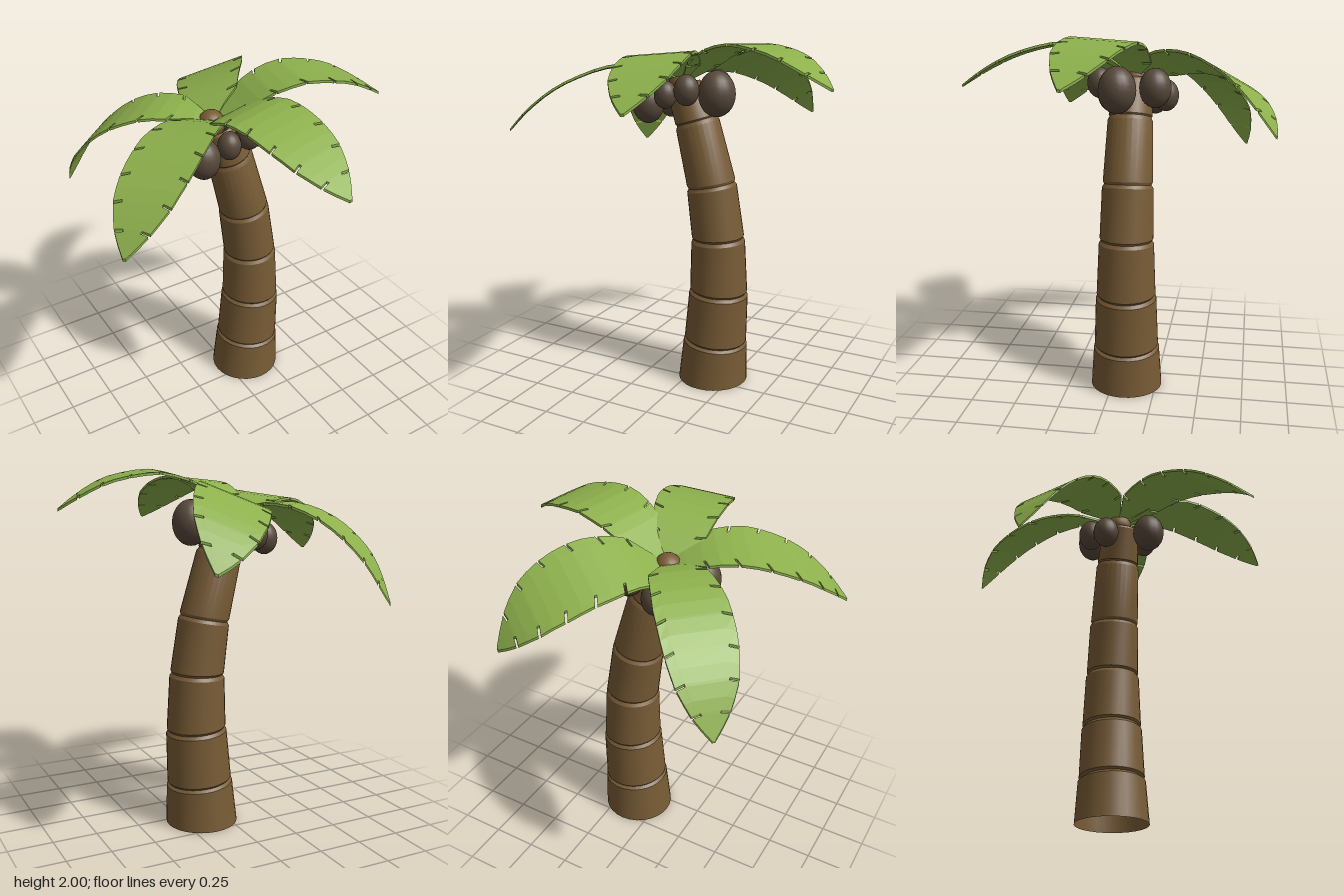
import * as THREE from 'three';
import { toCreasedNormals } from 'three/addons/utils/BufferGeometryUtils.js';

const bark = new THREE.MeshStandardMaterial({ color: 0x775b35, side: THREE.DoubleSide });
const husk = new THREE.MeshStandardMaterial({ color: 0x57483a });
const green = new THREE.MeshStandardMaterial({ color: 0x8db04c, flatShading: true });
const V = (x, y, z) => new THREE.Vector3(x, y, z);
const TRUNK_Z = -0.077;

// Trunk joints: centre x, centre y, radius, lean of the ring about z
const joints = [
  [0.135, 0, 0.205, 0],
  [0.149, 0.25, 0.184, -0.08],
  [0.167, 0.56, 0.168, -0.06],
  [0.16, 0.88, 0.151, 0.05],
  [0.115, 1.19, 0.14, 0.19],
  [0.02, 1.55, 0.123, 0.3],
  [-0.065, 1.75, 0.1, 0.3],
];

// Skin a stack of leaning rings { x, y, r, lean }, open at both ends
function ringLoft(rings, sides = 28) {
  const pos = [], index = [];
  for (const { x, y, r, lean } of rings) {
    for (let k = 0; k < sides; k++) {
      const a = (k / sides) * Math.PI * 2, c = Math.cos(a) * r;
      pos.push(x + c * Math.cos(lean), y + c * Math.sin(lean), TRUNK_Z + Math.sin(a) * r);
    }
  }
  for (let i = 0; i < rings.length - 1; i++) {
    for (let k = 0; k < sides; k++) {
      const n = (k + 1) % sides, a = i * sides + k, b = i * sides + n;
      index.push(a, a + sides, b, b, a + sides, b + sides);
    }
  }
  const g = new THREE.BufferGeometry();
  g.setAttribute('position', new THREE.Float32BufferAttribute(pos, 3));
  g.setIndex(index);
  return toCreasedNormals(g, 0.45);
}

// One trunk segment: narrow foot, full body, bevelled top edge
function trunkSegment(a, b, first) {
  const at = (t, k) => {
    const m = a.map((v, i) => v + (b[i] - v) * t);
    return { x: m[0], y: m[1], r: m[2] * k, lean: m[3] };
  };
  return ringLoft([at(0, first ? 1 : 0.94), at(0.04, 1), at(0.94, 1.02), at(1, 0.94)]);
}

// Half width of a leaf along its length (0 root, 1 tip)
const widths = [[0, 0.02], [0.08, 0.07], [0.17, 0.148], [0.3, 0.17], [0.42, 0.186], [0.6, 0.183],
  [0.75, 0.157], [0.87, 0.104], [0.94, 0.056], [1, 0.008]];
function halfWidth(t) {
  const i = Math.max(1, widths.findIndex((w) => w[0] >= t));
  const [t0, w0] = widths[i - 1], [t1, w1] = widths[i];
  return w0 + ((w1 - w0) * (t - t0)) / (t1 - t0);
}

// A thin arched leaf with slanted slits in both edges
const slits = [0.17, 0.31, 0.46, 0.61, 0.75, 0.88];
const SLIT = 0.006;
function leafGeometry({ angle, roll, bend, arch }) {
  const curve = new THREE.SplineCurve(arch.map(([u, y]) => new THREE.Vector2(u, y)));
  const a = THREE.MathUtils.degToRad(angle);
  const d = V(Math.cos(a), 0, Math.sin(a)), p = V(-d.z, 0, d.x);
  const rows = [0, 0.08, 0.24, 0.385, 0.535, 0.68, 0.82, 0.94, 1];
  slits.forEach((s) => rows.push(s - SLIT, s + SLIT));
  rows.sort((m, n) => m - n);
  const point = (i, j, side) => {
    const edge = j === 0 || j === 3;
    const t = rows[i] + (edge ? 0.07 * rows[i] * (1 - rows[i]) : 0);
    const w = halfWidth(t), inner = Math.max(w - 0.05, w * 0.4);
    const v = [-w, -inner, inner, w][j], q = curve.getPointAt(t);
    return V(-0.08, q.y + v * roll + side * 0.007, -0.09)
      .addScaledVector(d, q.x).addScaledVector(p, v + bend * 4 * t * (1 - t));
  };
  const filled = (i, j) => {
    if (i < 0 || j < 0 || j > 2 || i >= rows.length - 1) return false;
    const mid = (rows[i] + rows[i + 1]) / 2;
    return j === 1 || !slits.some((s) => Math.abs(s - mid) < SLIT / 2);
  };
  const pos = [];
  const quad = (a, b, c, e) => [a, b, c, a, c, e].forEach((v) => pos.push(v.x, v.y, v.z));
  for (let i = 0; i < rows.length - 1; i++) {
    for (let j = 0; j < 3; j++) {
      if (!filled(i, j)) continue;
      const corners = [[i, j], [i, j + 1], [i + 1, j + 1], [i + 1, j]];
      const top = corners.map(([m, n]) => point(m, n, 1));
      const low = corners.map(([m, n]) => point(m, n, -1));
      quad(...top);
      quad(low[3], low[2], low[1], low[0]);
      // Rim only where there is no neighbouring cell
      [[i - 1, j], [i, j + 1], [i + 1, j], [i, j - 1]].forEach(([m, n], k) => {
        const next = (k + 1) % 4;
        if (!filled(m, n)) quad(low[k], low[next], top[next], top[k]);
      });
    }
  }
  const g = new THREE.BufferGeometry();
  g.setAttribute('position', new THREE.Float32BufferAttribute(pos, 3));
  g.computeVertexNormals();
  return g;
}

// Leaves: direction in degrees, sideways roll and bend, arch as (distance out, height)
const leaves = [
  { angle: 13, roll: 0.05, bend: 0,
    arch: [[0, 1.76], [0.12, 1.84], [0.25, 1.93], [0.38, 1.975], [0.5, 1.985], [0.7, 1.945], [0.85, 1.87], [0.97, 1.79]] },
  { angle: 79, roll: -0.09, bend: 0,
    arch: [[0, 1.76], [0.15, 1.865], [0.3, 1.93], [0.45, 1.94], [0.65, 1.89], [0.82, 1.81], [0.965, 1.715]] },
  { angle: 145, roll: -0.12, bend: 0,
    arch: [[0, 1.77], [0.15, 1.83], [0.28, 1.855], [0.45, 1.84], [0.68, 1.75], [0.85, 1.63], [0.965, 1.51]] },
  { angle: 226.5, roll: 0, bend: 0,
    arch: [[0, 1.77], [0.12, 1.81], [0.25, 1.82], [0.4, 1.79], [0.57, 1.7], [0.74, 1.53], [0.86, 1.3]] },
  { angle: 303.5, roll: 0.4, bend: -0.035,
    arch: [[0, 1.76], [0.15, 1.825], [0.3, 1.86], [0.5, 1.845], [0.7, 1.765], [0.83, 1.66], [0.93, 1.53]] },
];

// Coconuts: x, y, z, radius
const nuts = [
  [0.167, 1.715, -0.025, 0.104],
  [0.08, 1.72, -0.22, 0.088],
  [-0.1, 1.66, -0.26, 0.073],
  [-0.2, 1.63, -0.19, 0.073],
  [-0.215, 1.65, 0.06, 0.09],
  [-0.085, 1.71, 0.1, 0.063],
  [0.04, 1.74, 0.09, 0.07],
];

export function createModel() {
  const model = new THREE.Group();
  const add = (parent, name, geometry, material) => {
    const m = new THREE.Mesh(geometry, material);
    m.name = name;
    parent.add(m);
    return m;
  };
  const group = (name) => {
    const g = new THREE.Group();
    g.name = name;
    model.add(g);
    return g;
  };

  const trunk = group('trunk');
  for (let i = 0; i < joints.length - 1; i++) {
    add(trunk, 'trunkSegment', trunkSegment(joints[i], joints[i + 1], i === 0), bark);
  }
  // Rounded bud showing between the leaf roots
  const bud = add(trunk, 'trunkTip', new THREE.SphereGeometry(0.075, 16, 12), bark);
  bud.position.set(-0.08, 1.755, -0.09);

  const crown = group('crown');
  for (const leaf of leaves) add(crown, 'leaf', leafGeometry(leaf), green);

  const cluster = group('coconuts');
  for (const [x, y, z, r] of nuts) {
    const nut = add(cluster, 'coconut', new THREE.SphereGeometry(r, 20, 14), husk);
    nut.position.set(x, y, z);
    nut.scale.y = 1.22;
  }
  return model;
}
